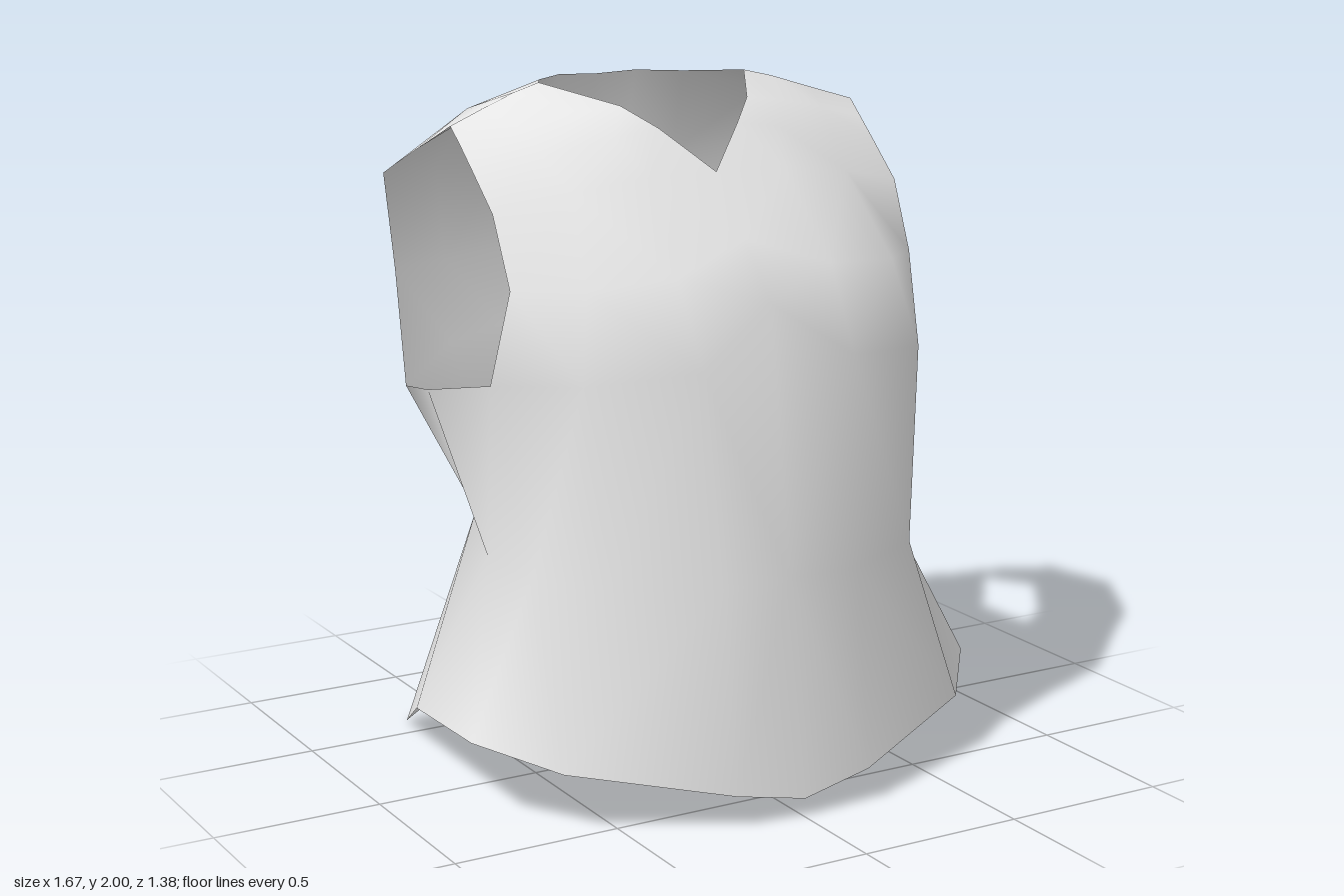
import * as THREE from 'three';
import { mergeVertices } from 'three/addons/utils/BufferGeometryUtils.js';

// Cross-sections of the left half. Lower body: front centre -> side -> back centre.
const hem = [[0, .055, .69], [.22, .1, .68], [.66, .185, .49], [.835, .24, .27], [.81, .21, -.15],
  [.64, 0, -.605], [.39, .12, -.65], [.26, .155, -.674], [.15, .175, -.692], [0, .19, -.695]];
const waist = [[0, .68, .6], [.22, .68, .61], [.5, .68, .46], [.615, .67, .22], [.62, .67, -.05],
  [.56, .75, -.25], [.39, .73, -.425], [.24, .7, -.47], [.12, .69, -.482], [0, .69, -.485]];
const underarm = [[0, 1.44, .487], [.245, 1.28, .54], [.55, 1.25, .415], [.7, 1.22, .15], [.72, 1.14, -.22],
  [.725, 1.125, -.36], [.5, 1.2, -.525], [.3, 1.23, -.58], [.14, 1.23, -.598], [0, 1.22, -.593]];

// Shoulder line: neck -> armhole
const shoulder = [[.345, 2, -.23], [.43, 1.98, -.21], [.55, 1.942, -.18], [.67, 1.905, -.14]];

// Front yoke: neckline -> armhole, rising from the chest
const front = [
  underarm.slice(0, 4),
  [[0, 1.6, .345], [.25, 1.52, .405], [.5, 1.5, .345], [.66, 1.49, .2]],
  [[0, 1.77, .19], [.22, 1.77, .2], [.45, 1.74, .17], [.665, 1.69, .11]],
  [[.13, 1.89, .09], [.27, 1.87, .085], [.48, 1.83, .05], [.667, 1.8, -.015]],
  [[.21, 1.95, .01], [.33, 1.935, 0], [.5, 1.9, -.04], [.668, 1.86, -.085]],
  shoulder,
];

// Back yoke: armhole -> back centre, rising to the back of the neck
const nape = [[.706, 1.825, -.29], [.5, 1.92, -.38], [.245, 1.985, -.42], [.13, 1.985, -.515], [0, 1.98, -.52]];
const back = [
  underarm.slice(5),
  [[.675, 1.44, -.53], [.5, 1.45, -.556], [.3, 1.46, -.585], [.14, 1.46, -.602], [0, 1.46, -.605]],
  [[.74, 1.74, -.45], [.53, 1.73, -.54], [.3, 1.72, -.58], [.14, 1.7, -.6], [0, 1.7, -.607]],
  nape,
];

// Back of the shoulder: nape row up to the shoulder line
const shoulderBack = [[nape[0], nape[1], nape[1], nape[2]], [...shoulder].reverse()];

// Adds a triangle and its mirror image, skipping collapsed ones
function addTriangle(out, a, b, c) {
  if (a === b || b === c || a === c) return;
  out.push(...a, ...b, ...c);
  for (const [x, y, z] of [a, c, b]) out.push(-x, y, z);
}

const distance = (p, q) => Math.hypot(p[0] - q[0], p[1] - q[1], p[2] - q[2]);

// Skins a stack of rows, splitting each quad along its shorter diagonal
function addGrid(out, rows) {
  for (let r = 0; r + 1 < rows.length; r++) {
    for (let i = 0; i + 1 < rows[r].length; i++) {
      const [a, b, c, d] = [rows[r][i], rows[r][i + 1], rows[r + 1][i + 1], rows[r + 1][i]];
      if (distance(a, c) < distance(b, d)) {
        addTriangle(out, a, b, c);
        addTriangle(out, a, c, d);
      } else {
        addTriangle(out, a, b, d);
        addTriangle(out, b, c, d);
      }
    }
  }
}

export function createModel() {
  const cloth = new THREE.MeshStandardMaterial({ color: 0xe7e7e7, side: THREE.DoubleSide });
  cloth.name = 'light grey cloth';

  const points = [];
  for (const grid of [[hem, waist, underarm], front, back, shoulderBack]) addGrid(points, grid);

  // Weld all panels so the cloth shades smoothly
  let geometry = new THREE.BufferGeometry();
  geometry.setAttribute('position', new THREE.Float32BufferAttribute(points, 3));
  geometry = mergeVertices(geometry, 1e-4);
  geometry.computeVertexNormals();

  const vest = new THREE.Mesh(geometry, cloth);
  vest.name = 'vest';
  const model = new THREE.Group();
  model.name = 'sleevelessTop';
  model.add(vest);
  return model;
}
